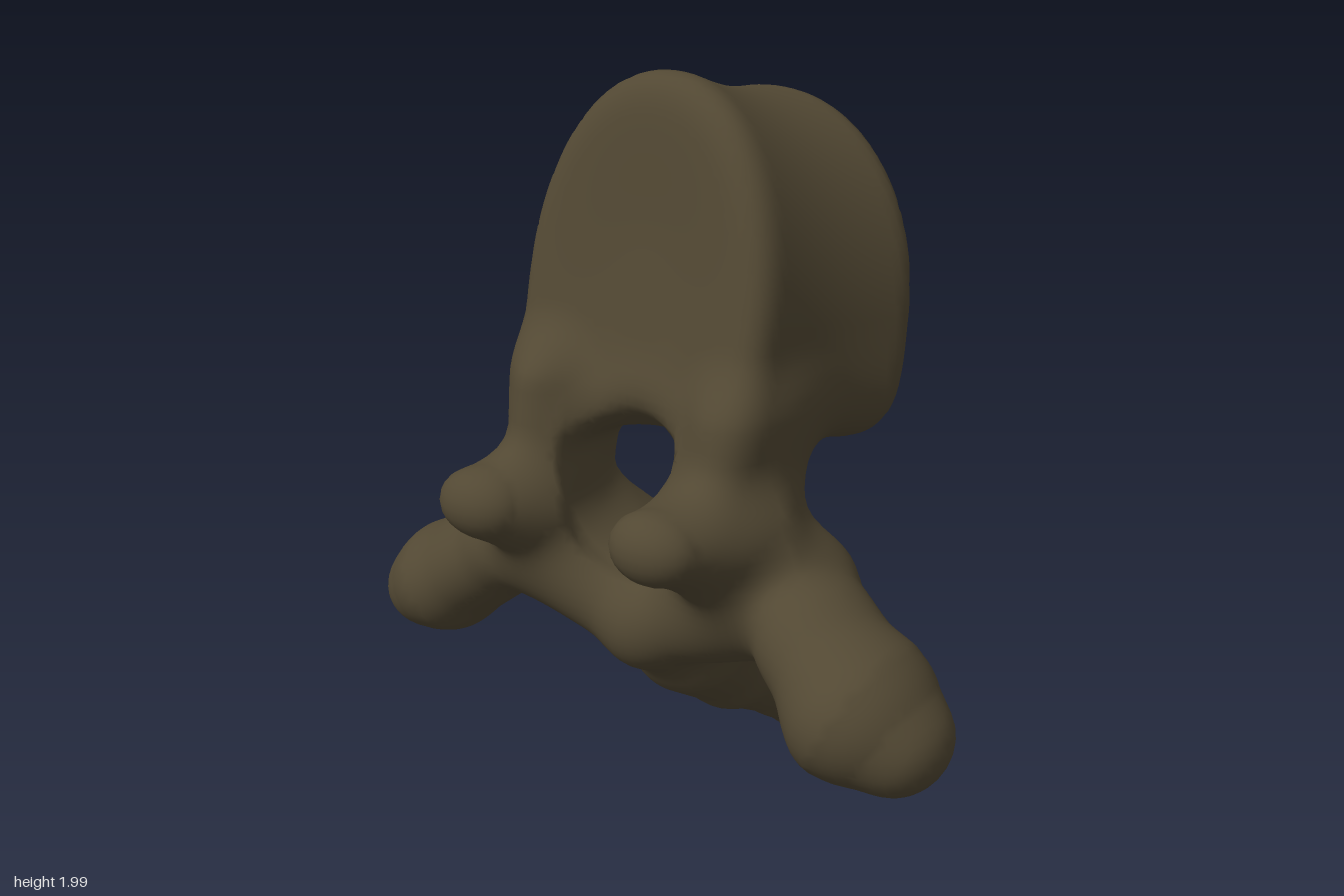
import * as THREE from 'three';

const CELL = 0.025, MIN = [-1.0, -0.075, -0.75], N = [80, 88, 60];
const lerp = THREE.MathUtils.lerp, clamp = THREE.MathUtils.clamp, smoothstep = THREE.MathUtils.smoothstep;

// Smooth union and smooth intersection of two distances
const smin = (a, b, k) => Math.min(a, b) - Math.max(k - Math.abs(a - b), 0) ** 2 / (4 * k);
const smax = (a, b, k) => -smin(-a, -b, k);

// Distance to a chain of round cones through [x, y, z, radius], squashed by s
function limb(points, s = [1, 1, 1]) {
  const pts = points.map(([x, y, z, r]) => [x / s[0], y / s[1], z / s[2], r]);
  const unit = Math.min(...s);
  return (x, y, z) => {
    const px = x / s[0], py = y / s[1], pz = z / s[2];
    let d = Infinity;
    for (let i = 0; i + 1 < pts.length; i++) {
      const a = pts[i], b = pts[i + 1];
      const ex = b[0] - a[0], ey = b[1] - a[1], ez = b[2] - a[2];
      const t = clamp(((px - a[0]) * ex + (py - a[1]) * ey + (pz - a[2]) * ez) / (ex * ex + ey * ey + ez * ez), 0, 1);
      const r = lerp(a[3], b[3], t);
      const e = Math.hypot(px - a[0] - ex * t, py - a[1] - ey * t, pz - a[2] - ez * t) - r;
      d = i ? smin(d, e, 0.03) : e;
    }
    return d * unit;
  };
}

// Thick domed disc between two tilted, dished end faces, with a slight waist
function body(x, y, z) {
  const front = 0.225 - 0.23 * (y - 1.6) + 0.13 * x;
  const back = -0.315 - 0.13 * (y - 1.55) + 0.13 * x;
  const t = clamp((z - back) / (front - back), 0, 1);
  const waist = 0.03 * Math.sin(Math.PI * t);
  const u = Math.abs(x - lerp(0.025, -0.04, t)) / (lerp(0.43, 0.37, t) - waist);
  const v = y - lerp(1.42, 1.48, t);
  const n = v > 0 ? 2.1 : 4;
  const h = (v > 0 ? lerp(0.49, 0.54, t) : 0.34) - waist;
  const rim = ((u ** n + (Math.abs(v) / h) ** n) ** (1 / n) - 1) * 0.37;
  const dish = 0.03 * smoothstep(-rim, 0.03, 0.3);
  return smax(rim, Math.max(z - front + dish, back - z + dish) * 0.95, 0.08);
}

// Opening through the arch, reaching higher at the front and closing beyond it
function canal(x, y, z) {
  const lift = y > 1 ? 1 + 0.9 * smoothstep(z, 0.08, 0.35) : 1;
  return Math.hypot((x + 0.01) * 0.78, (y - 1.005) / lift) - 0.14 + 0.4 * smoothstep(z, 0.3, 0.55);
}

// left is +x, right is -x
const parts = {
  vertebralBody: body,
  leftPedicle: limb([[0.26, 1.27, 0.19, 0.1], [0.27, 0.93, 0.24, 0.1]], [1, 1, 1.75]),
  rightPedicle: limb([[-0.28, 1.27, 0.17, 0.1], [-0.28, 0.93, 0.22, 0.1]], [1, 1, 1.75]),
  leftUpperJoint: limb([[0.25, 1.01, 0.29, 0.13], [0.22, 1.06, 0.53, 0.085]], [1.3, 1, 1]),
  rightUpperJoint: limb([[-0.28, 0.97, 0.26, 0.13], [-0.335, 1.01, 0.45, 0.085]], [1.3, 1, 1]),
  leftTransverseProcess: limb([
    [0.2, 0.82, 0.18, 0.14], [0.37, 0.86, 0.19, 0.135], [0.5, 0.82, 0.3, 0.13],
    [0.66, 0.735, 0.385, 0.16], [0.75, 0.69, 0.39, 0.12],
  ], [1, 1, 1.2]),
  rightTransverseProcess: limb([
    [-0.2, 0.82, 0.17, 0.14], [-0.45, 0.79, 0.18, 0.125], [-0.7, 0.615, 0.17, 0.14], [-0.76, 0.58, 0.17, 0.115],
  ], [1, 1, 1.2]),
  upperLamina: limb([[-0.28, 0.83, 0.23, 0.12], [0.02, 0.73, 0.27, 0.12], [0.28, 0.83, 0.23, 0.12]]),
  lowerLamina: limb([[-0.22, 0.76, 0, 0.1], [0.02, 0.66, -0.03, 0.11], [0.22, 0.76, 0, 0.1]]),
  leftLowerJoint: limb([[0.25, 0.82, 0.1, 0.12], [0.2, 0.69, -0.09, 0.08]]),
  rightLowerJoint: limb([[-0.25, 0.82, 0.1, 0.12], [-0.2, 0.69, -0.09, 0.08]]),
  spinousProcess: limb([
    [0.02, 0.62, 0.08, 0.17], [0.02, 0.465, -0.085, 0.13], [0.025, 0.29, -0.31, 0.09],
    [0.035, 0.14, -0.46, 0.075], [0.035, 0.06, -0.53, 0.055], [0.04, 0.04, -0.6, 0.03],
  ]),
};
const names = Object.keys(parts), fields = Object.values(parts);

// All parts melted together, with the canal cut through
function field(x, y, z) {
  let d = fields[0](x, y, z);
  for (let i = 1; i < fields.length; i++) d = smin(d, fields[i](x, y, z), 0.09);
  return smax(d, -canal(x, y, z), 0.06);
}

function gradient(x, y, z) {
  const e = 0.004;
  return new THREE.Vector3(
    field(x + e, y, z) - field(x - e, y, z),
    field(x, y + e, z) - field(x, y - e, z),
    field(x, y, z + e) - field(x, y, z - e),
  ).divideScalar(2 * e);
}

// Which part lies nearest to a point
function nearestPart(p) {
  const d = fields.map((f) => f(p.x, p.y, p.z));
  return d.indexOf(Math.min(...d));
}

export function createModel() {
  const step = [1, N[0], N[0] * N[1]];
  const values = new Float32Array(N[0] * N[1] * N[2]).fill(1);
  const at = (i, a) => MIN[a] + i * CELL;
  const eachNode = (fn) => {
    for (let k = 1; k < N[2] - 1; k++)
      for (let j = 1; j < N[1] - 1; j++)
        for (let i = 1; i < N[0] - 1; i++) fn(i, j, k, i + j * step[1] + k * step[2]);
  };
  eachNode((i, j, k, n) => { values[n] = field(at(i, 0), at(j, 1), at(k, 2)); });

  // One skin vertex per crossed cell, pulled onto the surface
  const cellVertex = new Map(), points = [], normals = [];
  const vertex = (n) => {
    if (cellVertex.has(n)) return cellVertex.get(n);
    const i = n % N[0], j = Math.floor(n / step[1]) % N[1], k = Math.floor(n / step[2]);
    const p = new THREE.Vector3(at(i + 0.5, 0), at(j + 0.5, 1), at(k + 0.5, 2));
    for (let s = 0; s < 4; s++) {
      const g = gradient(p.x, p.y, p.z);
      const move = field(p.x, p.y, p.z) / Math.max(g.lengthSq(), 0.1);
      p.addScaledVector(g, -clamp(move, -CELL, CELL));
    }
    points.push(p);
    normals.push(gradient(p.x, p.y, p.z).normalize());
    cellVertex.set(n, points.length - 1);
    return points.length - 1;
  };

  // A quad across every grid edge that crosses the skin, sorted by part
  const faces = names.map(() => []);
  eachNode((i, j, k, n) => {
    for (let a = 0; a < 3; a++) {
      const inside = values[n] < 0;
      if (inside === values[n + step[a]] < 0) continue;
      const b = step[(a + 1) % 3], c = step[(a + 2) % 3];
      const q = [n, n - b, n - b - c, n - c].map(vertex);
      if (!inside) q.reverse();
      faces[nearestPart(points[q[0]])].push(q[0], q[1], q[2], q[0], q[2], q[3]);
    }
  });

  const material = new THREE.MeshStandardMaterial({ color: 0x524833 });
  const group = new THREE.Group();
  group.name = 'vertebra';
  faces.forEach((list, i) => {
    if (!list.length) return;
    const geometry = new THREE.BufferGeometry();
    const flat = (source) => new THREE.Float32BufferAttribute(list.flatMap((v) => source[v].toArray()), 3);
    geometry.setAttribute('position', flat(points));
    geometry.setAttribute('normal', flat(normals));
    const mesh = new THREE.Mesh(geometry, material);
    mesh.name = names[i];
    group.add(mesh);
  });
  return group;
}
